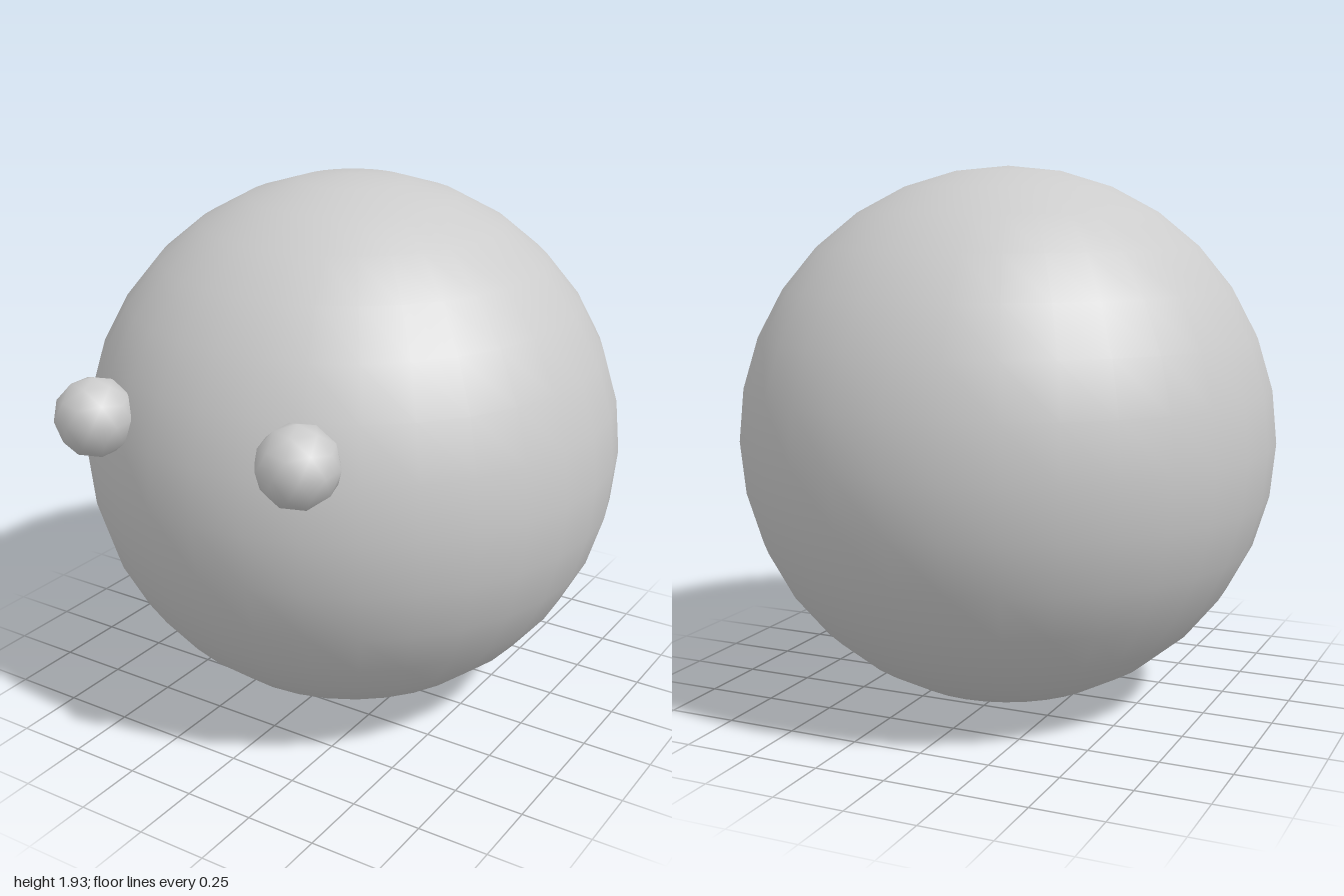
import * as THREE from 'three';

export function createModel() {
  const group = new THREE.Group();
  const material = new THREE.MeshStandardMaterial({ color: 0xcccccc });

  // Large round body, resting on the ground
  const radius = 0.967;
  const body = new THREE.Mesh(new THREE.SphereGeometry(radius, 32, 16), material);
  body.name = 'body';
  body.position.set(0, radius, -0.033);
  group.add(body);

  // Small eyes: subdivided icosahedron, turned so one corner points straight up
  const eyeGeometry = new THREE.IcosahedronGeometry(0.137, 1);
  eyeGeometry.rotateZ(-Math.atan(2 / (1 + Math.sqrt(5))));

  for (const [name, x] of [['rightEye', -0.44], ['leftEye', 0.37]]) {
    const eye = new THREE.Mesh(eyeGeometry, material);
    eye.name = name;
    eye.position.set(x, 1.227, 0.863);
    group.add(eye);
  }

  return group;
}
